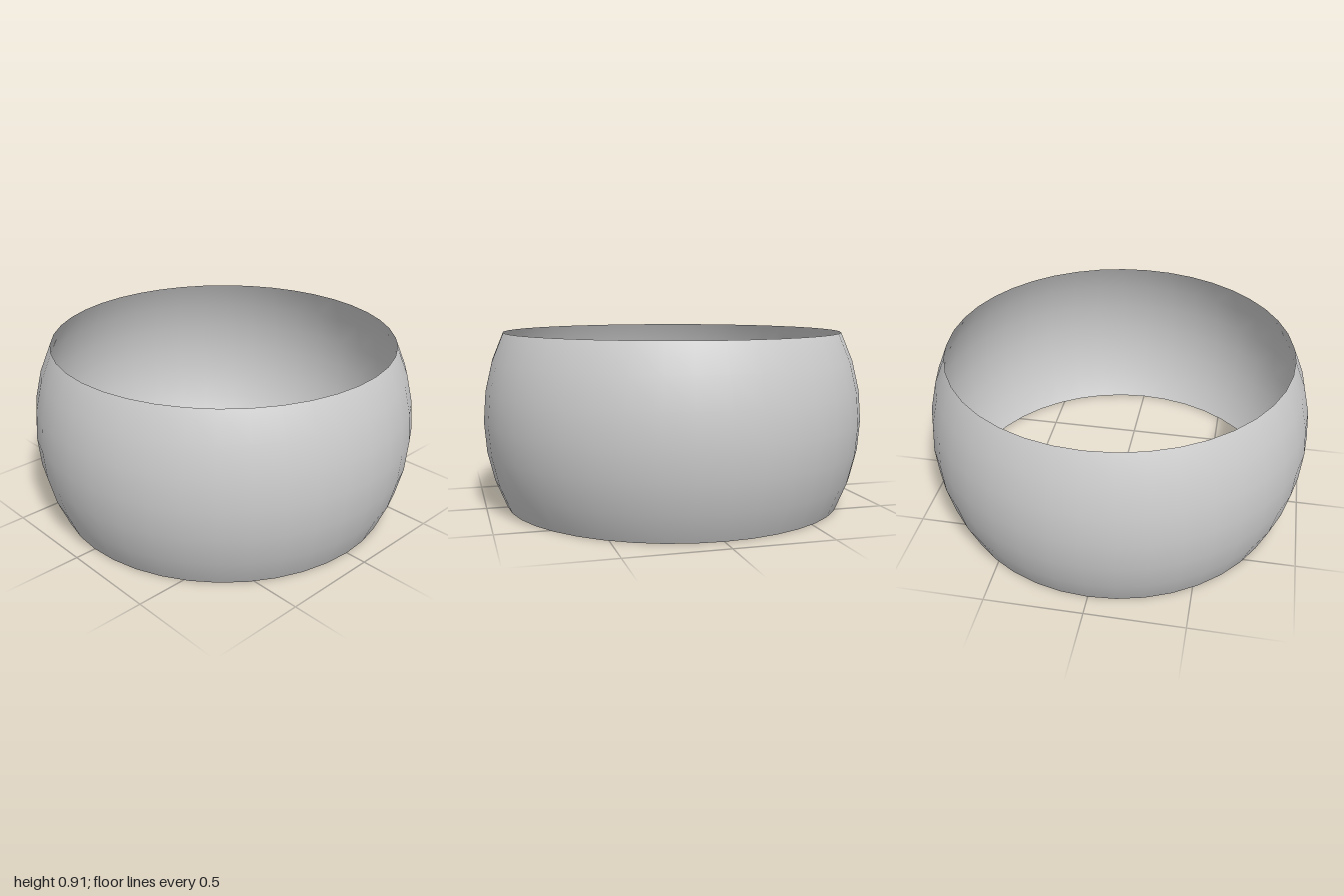
import * as THREE from 'three';

export function createModel() {
  const group = new THREE.Group();
  group.name = 'band';

  // Open band cut from a unit sphere, 27 degrees either side of the equator
  const halfAngle = THREE.MathUtils.degToRad(27);
  const geometry = new THREE.SphereGeometry(
    1, 40, 6, 0, Math.PI * 2, Math.PI / 2 - halfAngle, halfAngle * 2
  );
  const material = new THREE.MeshStandardMaterial({ color: 0xcccccc, side: THREE.DoubleSide });
  const ring = new THREE.Mesh(geometry, material);
  ring.name = 'curvedRing';
  ring.position.y = Math.sin(halfAngle); // rests on its lower rim
  group.add(ring);

  return group;
}
